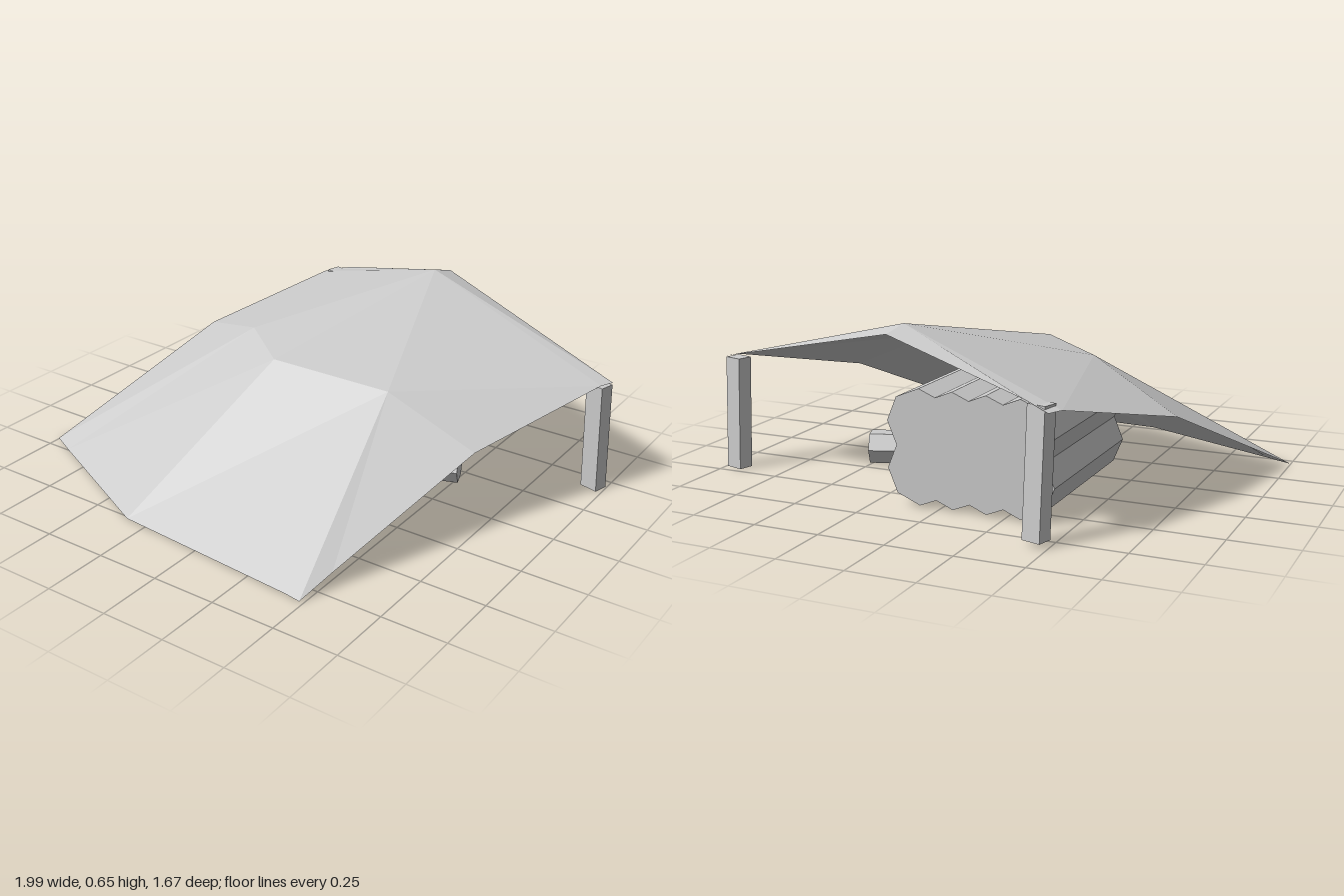
import * as THREE from 'three';

const grey = new THREE.MeshStandardMaterial({ color: 0xcccccc, flatShading: true });
const cloth = new THREE.MeshStandardMaterial({ color: 0xcccccc, flatShading: true, side: THREE.DoubleSide });

function part(name, geometry, material = grey) {
  const mesh = new THREE.Mesh(geometry, material);
  mesh.name = name;
  return mesh;
}

// Folded canvas sheet: named corners joined by flat panels
function canvasSheet() {
  const p = {
    frontLeft: [-1, 0.005, 0.45], frontFold: [-0.9, 0.005, 0.5], frontMid: [-0.34, 0.005, 0.765],
    frontTuck: [0.42, 0.005, 0.825], frontRight: [0.485, 0.005, 0.835],
    sideLow: [0.525, 0.06, 0.7], sideHigh: [0.73, 0.32, 0.12], sideLeft: [-0.75, 0.335, -0.26],
    bendLeft: [-0.36, 0.478, -0.04], bendMid: [-0.09, 0.495, 0.19], bendRight: [0.38, 0.47, 0.14],
    ridgeLeft: [-0.53, 0.455, -0.78], ridge: [0.13, 0.655, -0.6], ridgeRight: [0.96, 0.44, -0.4],
    hemLeft: [-0.505, 0.455, -0.835], hemFold: [-0.42, 0.485, -0.815],
    hemMid: [0.15, 0.63, -0.69], hemRight: [0.985, 0.44, -0.45],
  };
  const panels = [
    // sloping front
    ['frontLeft', 'frontFold', 'bendLeft', 'sideLeft'],
    ['frontFold', 'frontMid', 'bendMid', 'bendLeft'],
    ['frontMid', 'frontTuck', 'bendRight', 'bendMid'],
    ['bendRight', 'frontTuck', 'frontRight', 'sideLow', 'sideHigh', 'ridgeRight'],
    // roof
    ['bendRight', 'ridgeRight', 'ridge', 'bendMid'],
    ['bendLeft', 'bendMid', 'ridge', 'ridgeLeft', 'sideLeft'],
    // hem folded over the ridge
    ['ridge', 'ridgeRight', 'hemRight', 'hemMid'],
    ['ridge', 'hemMid', 'hemFold', 'hemLeft', 'ridgeLeft'],
  ];
  const positions = [];
  for (const panel of panels) {
    for (let i = 1; i < panel.length - 1; i++) {
      positions.push(...p[panel[0]], ...p[panel[i]], ...p[panel[i + 1]]);
    }
  }
  const geometry = new THREE.BufferGeometry();
  geometry.setAttribute('position', new THREE.Float32BufferAttribute(positions, 3));
  geometry.computeVertexNormals();
  return part('canvasSheet', geometry, cloth);
}

// Square post, turned to follow the ridge and leaning slightly
function post(name, x, z, bottom, top, leanX, leanZ) {
  const geometry = new THREE.BoxGeometry(0.073, top - bottom, 0.058);
  geometry.rotateY(-0.27).translate(0, (top + bottom) / 2, 0);
  geometry.applyMatrix4(new THREE.Matrix4().makeShear(0, 0, leanX, leanZ, 0, 0));
  geometry.translate(x, 0, z);
  return part(name, geometry);
}

// Two rows of overlapping octagonal logs lying along z
function logPile() {
  const pile = new THREE.Group();
  pile.name = 'logPile';
  const rows = 2, columns = 4, spacing = 0.128;
  for (let row = 0; row < rows; row++) {
    for (let col = 0; col < columns; col++) {
      const log = part('log', new THREE.CylinderGeometry(0.125, 0.125, 0.69, 8).rotateX(Math.PI / 2));
      log.position.set(-0.12 + (col - (columns - 1) / 2) * spacing, 0.135 + row * 0.172, -0.265);
      pile.add(log);
    }
  }
  return pile;
}

// Short six-sided log standing apart from the pile
function looseLog() {
  const geometry = new THREE.CylinderGeometry(0.067, 0.067, 0.13, 6);
  geometry.rotateX(Math.PI / 2).rotateZ(Math.PI / 2).rotateY(Math.PI / 2 + 0.34);
  const log = part('looseLog', geometry);
  log.position.set(0.45, 0.067, -0.16);
  return log;
}

export function createModel() {
  const model = new THREE.Group();
  model.name = 'canvasShelter';
  model.add(
    canvasSheet(),
    post('rightPost', 0.952, -0.437, 0.002, 0.435, -0.02, 0.025),
    post('leftPost', -0.45, -0.802, 0.02, 0.472, -0.02, 0.045),
    logPile(),
    looseLog(),
  );
  return model;
}
